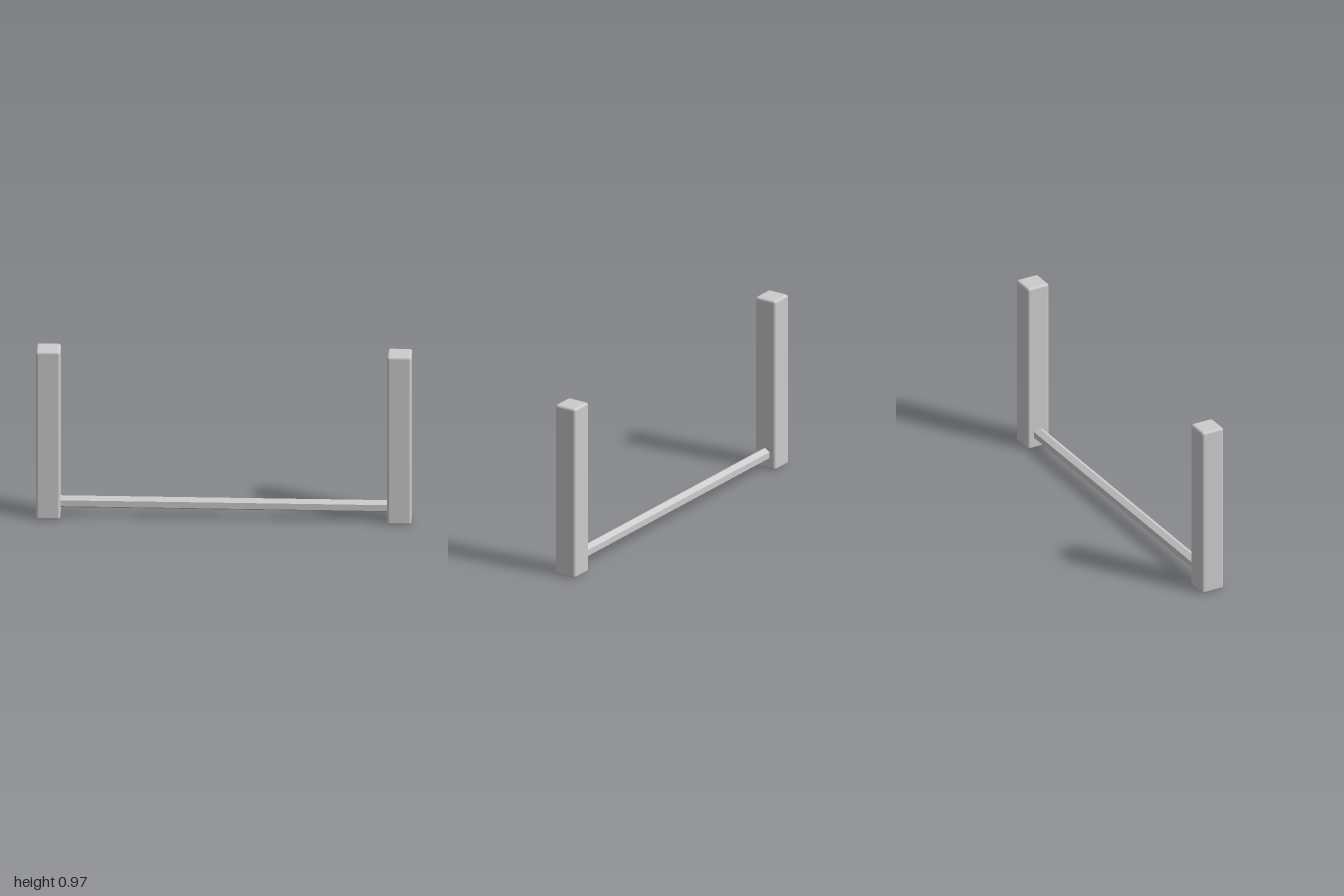
import * as THREE from 'three';
import { RoundedBoxGeometry } from 'three/addons/geometries/RoundedBoxGeometry.js';

export function createModel() {
  const group = new THREE.Group();
  const material = new THREE.MeshStandardMaterial({ color: 0xcccccc });
  const facetedMaterial = new THREE.MeshStandardMaterial({ color: 0xcccccc, flatShading: true });

  // Two square posts with softly rounded edges
  const width = 0.13, height = 0.97;
  const postGeometry = new RoundedBoxGeometry(width, height, width, 2, 0.014);
  for (const side of [-1, 1]) {
    const post = new THREE.Mesh(postGeometry, material);
    post.name = side > 0 ? 'leftPost' : 'rightPost';
    post.position.set(side * (1 - width / 2), height / 2, 0);
    group.add(post);
  }

  // Six-sided rail between the posts, one ridge on top
  const railGeometry = new THREE.CylinderGeometry(0.034, 0.034, 1.76, 6);
  railGeometry.rotateY(Math.PI / 2);
  railGeometry.rotateZ(Math.PI / 2);
  const rail = new THREE.Mesh(railGeometry, facetedMaterial);
  rail.name = 'rail';
  rail.position.y = 0.083;
  group.add(rail);

  return group;
}
